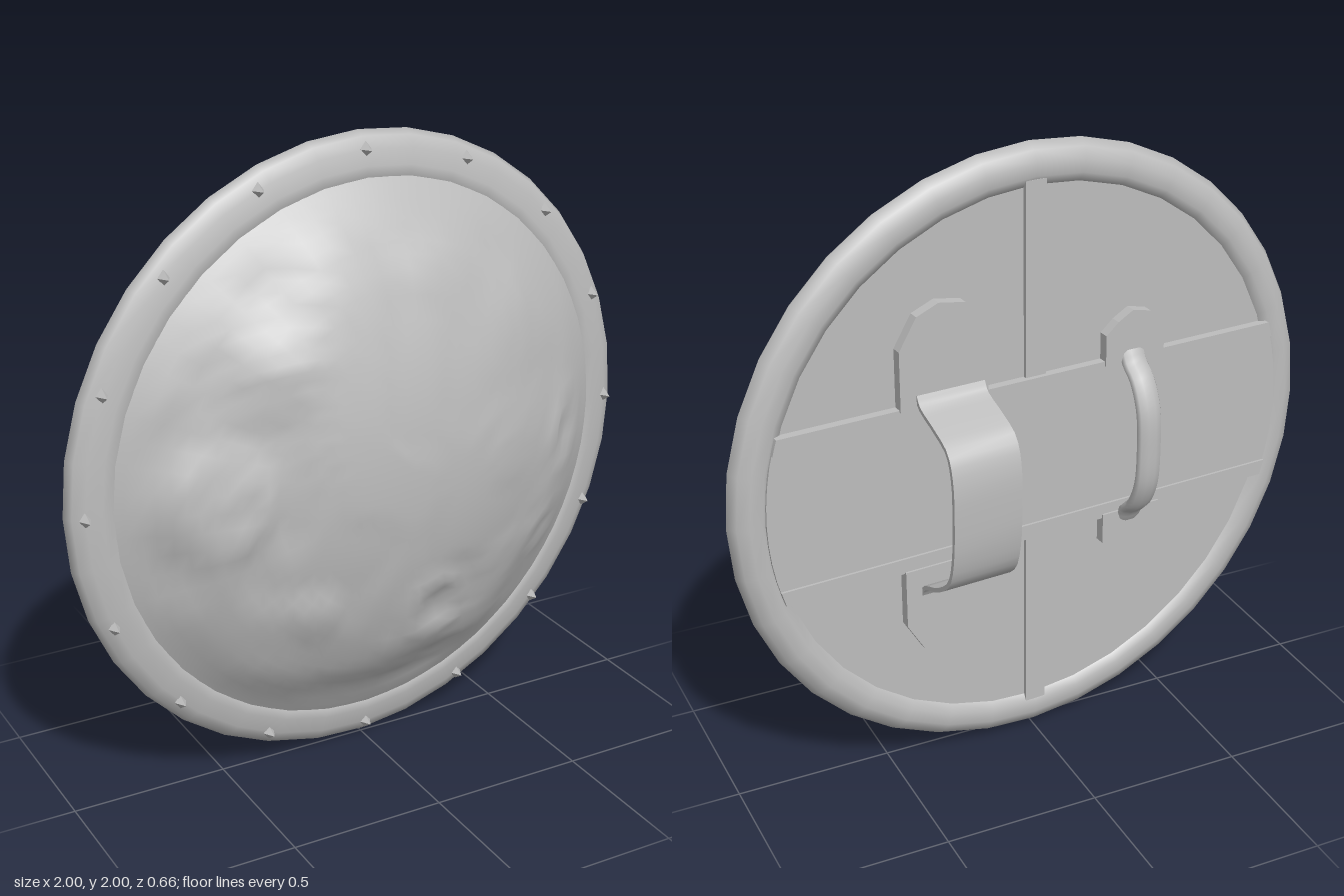
import * as THREE from 'three';
import { mergeVertices, toCreasedNormals } from 'three/addons/utils/BufferGeometryUtils.js';

const steel = new THREE.MeshStandardMaterial({ color: 0xbdbdbd });
steel.name = 'grey';

function part(name, geometry, parent) {
  const mesh = new THREE.Mesh(geometry, steel);
  mesh.name = name;
  parent.add(mesh);
  return mesh;
}

// Lathe turned so that its axis is z; profile pairs are [radius, z]
function turned(profile, segments) {
  const g = new THREE.LatheGeometry(profile.map(([r, z]) => new THREE.Vector2(r, z)), segments);
  return g.rotateX(Math.PI / 2);
}

// Smooth seeded value noise
function hash(i, j) {
  const s = Math.sin(i * 127.1 + j * 311.7) * 43758.5453;
  return s - Math.floor(s);
}
function noise(x, y) {
  const i = Math.floor(x), j = Math.floor(y);
  const u = THREE.MathUtils.smoothstep(x - i, 0, 1), v = THREE.MathUtils.smoothstep(y - j, 0, 1);
  const a = THREE.MathUtils.lerp(hash(i, j), hash(i + 1, j), u);
  const b = THREE.MathUtils.lerp(hash(i, j + 1), hash(i + 1, j + 1), u);
  return THREE.MathUtils.lerp(a, b, v);
}

// Battered relief: terraces on the left and bottom, a few ring-shaped dents
const dents = [[0.69, -0.03, 0.08], [0.6, -0.37, 0.06], [-0.31, -0.39, 0.04], [-0.6, 0.02, 0.13], [0.12, -0.48, 0.1]];
function relief(x, y) {
  const r = Math.hypot(x, y);
  const fade = 1 - THREE.MathUtils.smoothstep(r, 0.72, 0.86);
  const wear = 0.25 + 0.75 * THREE.MathUtils.smoothstep(r - 0.35 * x - 0.15 * y, 0.3, 0.75);
  const n = noise(x * 5 + 9, y * 5 + 4) * 3;
  const step = Math.floor(n) + THREE.MathUtils.smoothstep(n % 1, 0.6, 1);
  let h = wear * 0.016 * (step - 1);
  for (const [dx, dy, size] of dents) {
    const d = Math.hypot(x - dx, y - dy);
    h += 0.014 * Math.exp(-(((d - size) / 0.03) ** 2)) - 0.008 * Math.exp(-((d / size) ** 2) * 2);
  }
  return h * fade;
}

function domeGeometry() {
  const profile = [];
  for (let i = 0; i <= 24; i++) {
    const t = 1 - i / 24;
    profile.push([0.88 * t, 0.04 + 0.285 * (1 - t ** 2.15)]);
  }
  let g = turned(profile, 72);
  g.deleteAttribute('uv');
  g.deleteAttribute('normal');
  g = mergeVertices(g, 1e-4);
  const p = g.attributes.position;
  for (let i = 0; i < p.count; i++) p.setZ(i, p.getZ(i) + relief(p.getX(i), p.getY(i)));
  g.computeVertexNormals();
  return g;
}

// Flat plate whose back face is at z = back
function plate(points, back, depth) {
  const shape = new THREE.Shape(points.map(([x, y]) => new THREE.Vector2(x, y)));
  return new THREE.ExtrudeGeometry(shape, { depth, bevelEnabled: false }).translate(0, 0, back);
}

// Horizontal board between y0 and y1, with ends following the inside of the rim
function board(y0, y1, back) {
  const right = [], left = [], R = 0.895;
  for (let i = 0; i <= 8; i++) {
    const y = THREE.MathUtils.lerp(y0, y1, i / 8), x = Math.sqrt(R * R - y * y);
    right.push([x, y]);
    left.unshift([-x, y]);
  }
  return plate([...right, ...left], back, -0.02 - back);
}

// Thin bent band following a [z, y] path, centred on x
function bentStrap(path, thickness, width, x) {
  const curve = new THREE.CatmullRomCurve3(path.map(([z, y]) => new THREE.Vector3(z, y, 0)), false, 'centripetal');
  const outer = [], inner = [];
  for (let i = 0; i <= 28; i++) {
    const c = curve.getPoint(i / 28), t = curve.getTangent(i / 28);
    const nx = -t.y * thickness / 2, ny = t.x * thickness / 2;
    outer.push([c.x + nx, c.y + ny]);
    inner.unshift([c.x - nx, c.y - ny]);
  }
  const g = plate([...outer, ...inner], -width / 2, width).rotateY(-Math.PI / 2).translate(x, 0, 0);
  return toCreasedNormals(g, 0.6);
}

export function createModel() {
  const model = new THREE.Group();
  model.name = 'roundShield';
  const shield = new THREE.Group();
  shield.name = 'tiltedShield';
  shield.position.set(0, 1, -0.01);
  shield.rotation.y = 0.07;
  model.add(shield);

  // Front dome and rounded rim
  part('dome', domeGeometry(), shield);
  part('rim', turned([[0.87, -0.02], [0.877, -0.042], [0.905, -0.056], [0.945, -0.056], [0.98, -0.04],
    [1, -0.008], [0.985, 0.02], [0.95, 0.038], [0.9, 0.047], [0.868, 0.05], [0.86, 0.035]], 36), shield);

  // Sixteen pointed rivets
  for (let i = 0; i < 16; i++) {
    const a = i * Math.PI / 8;
    const g = new THREE.ConeGeometry(0.024, 0.035, 4).rotateX(Math.PI / 2).scale(0.8, 1, 1);
    part('rivet', toCreasedNormals(g, 0.3), shield)
      .position.set(0.95 * Math.cos(a), 0.95 * Math.sin(a), 0.053);
  }

  // Backing disc, centre strip, cross board and its rails
  part('backing', new THREE.CircleGeometry(0.89, 48).rotateY(Math.PI).translate(0, 0, -0.04), shield);
  part('centreStrip', board(-0.035, 0.035, -0.053).rotateZ(Math.PI / 2), shield);
  part('crossBoard', board(-0.25, 0.25, -0.06), shield);
  for (const s of [-1, 1]) part('rail', board(s * 0.25 - 0.025, s * 0.25 + 0.025, -0.068), shield);

  // Leather flaps above and below the board
  function flaps(name, x, half, start, end) {
    const shoulder = THREE.MathUtils.lerp(start, end, 0.6);
    const outline = [[half, start], [half, shoulder], [half * 0.6, end - 0.03], [half * 0.1, end],
      [-half * 0.5, end - 0.015], [-half, shoulder], [-half, start]];
    for (const s of [-1, 1]) {
      const points = outline.map(([px, py]) => [px + x, py * s]);
      part(name, plate(points, -0.075, 0.04), shield);
    }
  }
  flaps('armStrapFlap', 0.32, 0.145, 0.27, 0.59);
  flaps('gripFlap', -0.34, 0.105, 0.26, 0.43);

  // Wide arm strap
  part('armStrap', bentStrap([[-0.07, 0.31], [-0.09, 0.28], [-0.18, 0.245], [-0.26, 0.205], [-0.29, 0.13], [-0.295, 0],
    [-0.285, -0.14], [-0.255, -0.23], [-0.18, -0.29], [-0.09, -0.33], [-0.07, -0.36]], 0.014, 0.225, 0.3), shield);

  // Narrow rounded hand grip
  const gripPath = [[-0.06, 0.29], [-0.085, 0.25], [-0.125, 0.215], [-0.165, 0.13], [-0.175, 0],
    [-0.165, -0.13], [-0.125, -0.215], [-0.085, -0.25], [-0.06, -0.29]];
  const gripCurve = new THREE.CatmullRomCurve3(gripPath.map(([z, y]) => new THREE.Vector3(0, y, z)));
  const grip = part('handGrip', new THREE.TubeGeometry(gripCurve, 32, 0.022, 10).scale(2, 1, 1), shield);
  grip.position.x = -0.335;
  return model;
}
